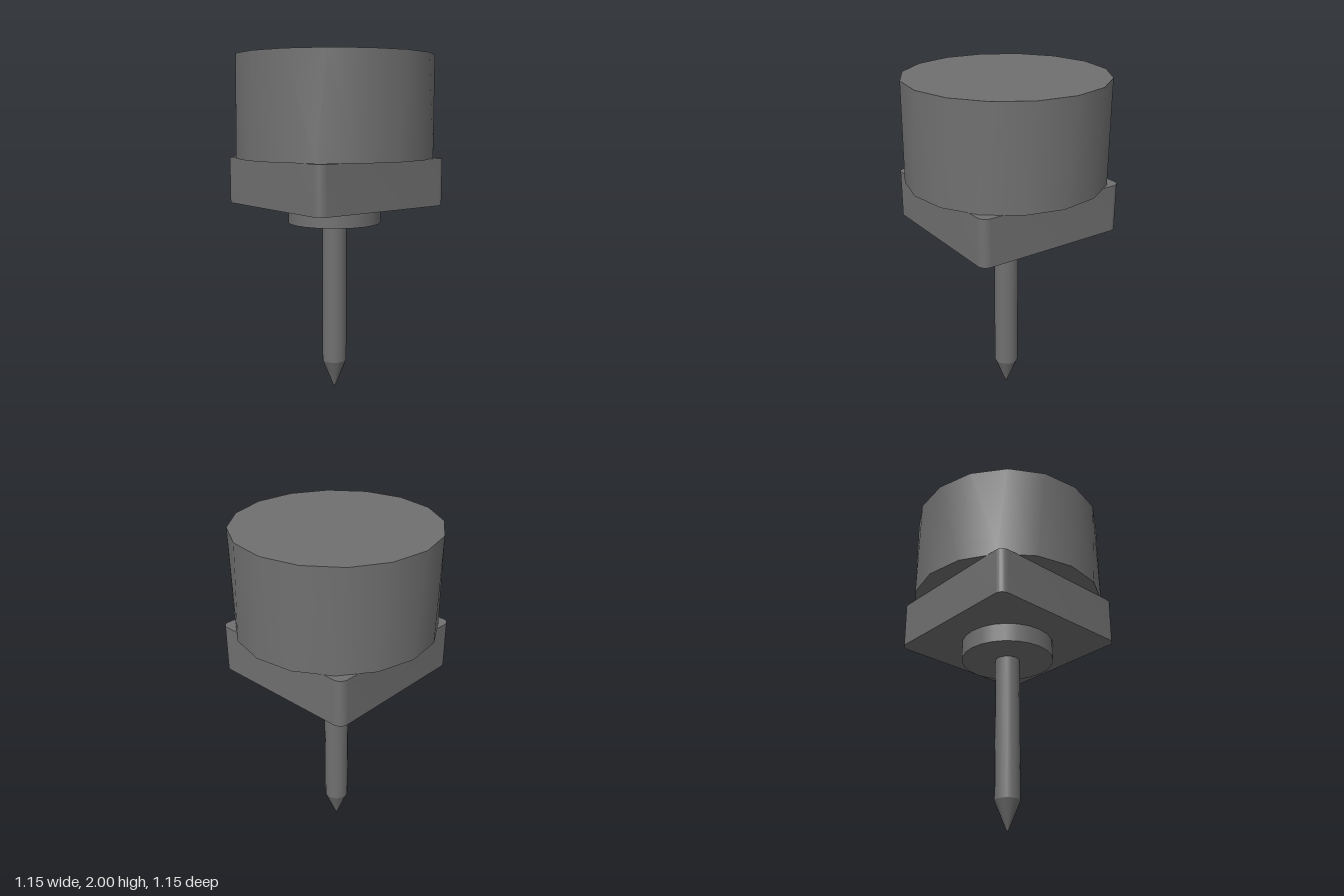
import * as THREE from 'three';
import { toCreasedNormals } from 'three/addons/utils/BufferGeometryUtils.js';

const material = new THREE.MeshStandardMaterial({ color: 0x707070 });

function part(name, geometry, y = 0) {
  const mesh = new THREE.Mesh(geometry, material);
  mesh.name = name;
  mesh.position.y = y;
  return mesh;
}

// Upright cylinder between two heights
function cylinder(name, rTop, rBottom, y0, y1, sides, thetaStart = 0) {
  const geometry = new THREE.CylinderGeometry(rTop, rBottom, y1 - y0, sides, 1, false, thetaStart);
  return part(name, geometry, (y0 + y1) / 2);
}

// Rotate the lower ring by an angle, so its corners fall between the upper ones
function twistBottom(geometry, angle) {
  const up = new THREE.Vector3(0, 1, 0);
  const v = new THREE.Vector3();
  const { position, normal } = geometry.attributes;
  for (let i = 0; i < position.count; i++) {
    if (position.getY(i) > 0) continue;
    for (const attribute of [position, normal]) {
      v.fromBufferAttribute(attribute, i).applyAxisAngle(up, angle);
      attribute.setXYZ(i, v.x, v.y, v.z);
    }
  }
}

// Square block with rounded upright edges
function roundedBlock(half, radius, height) {
  const shape = new THREE.Shape();
  const c = half - radius;
  [[c, c], [-c, c], [-c, -c], [c, -c]].forEach(([x, y], i) => {
    shape.absarc(x, y, radius, i * Math.PI / 2, (i + 1) * Math.PI / 2, false);
  });
  const geometry = new THREE.ExtrudeGeometry(shape, { depth: height, bevelEnabled: false, curveSegments: 6 });
  geometry.rotateX(-Math.PI / 2);
  return toCreasedNormals(geometry, Math.PI / 5);
}

export function createModel() {
  const group = new THREE.Group();
  group.name = 'plungerProbe';

  // Large faceted head
  const head = cylinder('head', 0.577, 0.577, 1.414, 2, 16, THREE.MathUtils.degToRad(3));
  twistBottom(head.geometry, THREE.MathUtils.degToRad(16.5));
  group.add(head);

  // Square body and round collar below it
  group.add(part('body', roundedBlock(0.459, 0.05, 0.274), 1.14));
  group.add(cylinder('collar', 0.274, 0.274, 1.03, 1.14, 24));

  // Pin and its pointed tip
  group.add(cylinder('pin', 0.073, 0.073, 0.18, 1.03, 16));
  group.add(cylinder('tip', 0.073, 0, 0, 0.18, 16));

  return group;
}
